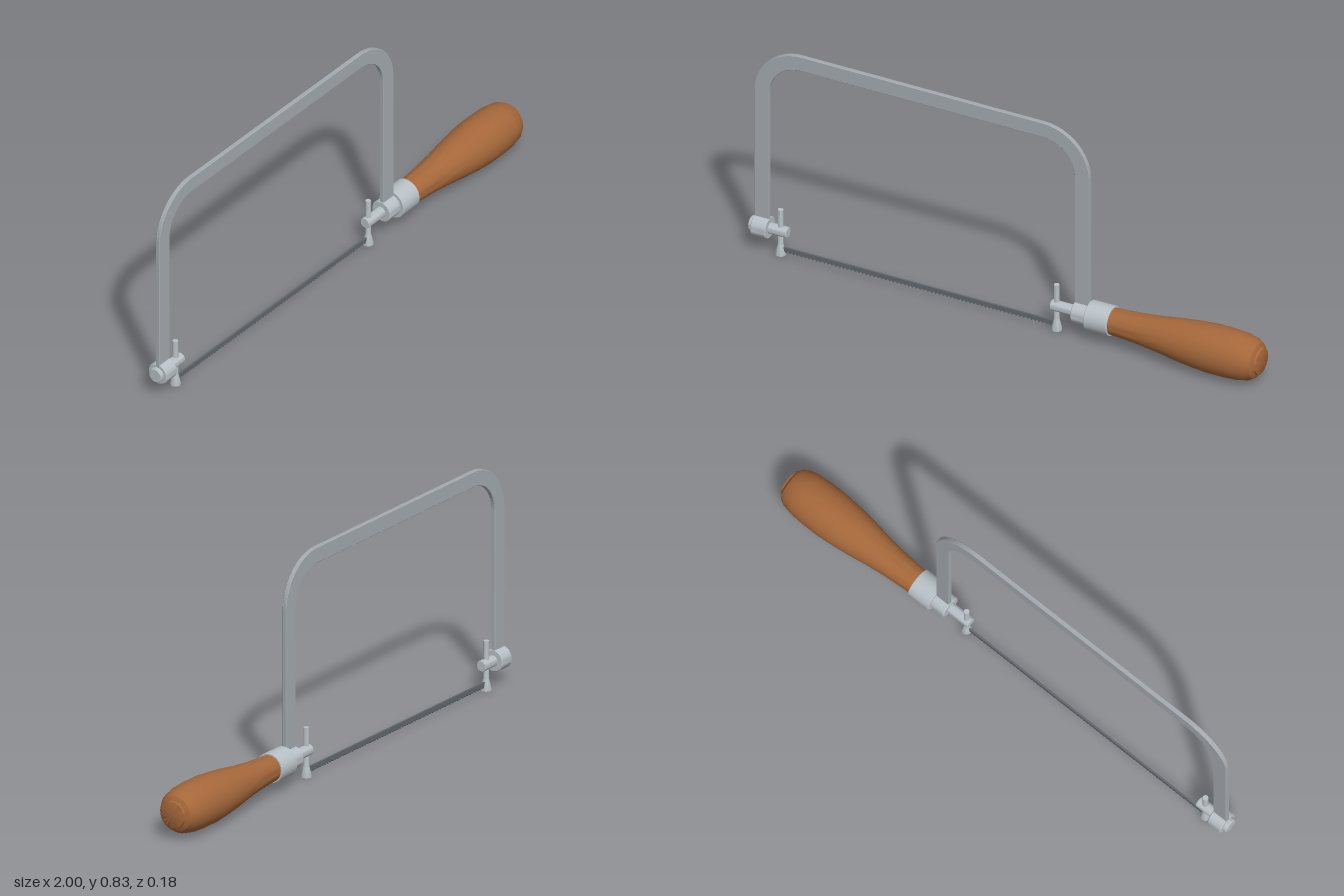
import * as THREE from 'three';
import { toCreasedNormals } from 'three/addons/utils/BufferGeometryUtils.js';

const AXIS_Y = 0.096; // height of the handle and spindle axis

function material(name, color) {
  const m = new THREE.MeshStandardMaterial({ color });
  m.name = name;
  return m;
}

export function createModel() {
  const saw = new THREE.Group();
  saw.name = 'copingSaw';
  const frameSteel = material('frameSteel', 0xa4aaaf);
  const brightSteel = material('brightSteel', 0xb8c0c5);
  const bladeSteel = material('bladeSteel', 0x62686d);
  const wood = material('wood', 0xa5673a);

  function add(parent, name, geometry, mat) {
    const mesh = new THREE.Mesh(geometry, mat);
    mesh.name = name;
    parent.add(mesh);
    return mesh;
  }

  // Lathe of [radius, position] points, with sharp edges kept
  function turned(points, segments = 32) {
    const g = new THREE.LatheGeometry(points.map(([r, p]) => new THREE.Vector2(r, p)), segments);
    return toCreasedNormals(g, 0.5);
  }

  // Turned part lying along +x on the spindle axis
  function along(parent, name, points, mat, segments) {
    const g = turned(points, segments).rotateZ(-Math.PI / 2);
    g.translate(0, AXIS_Y, 0);
    return add(parent, name, g, mat);
  }

  // Plain cylinder with a tiny chamfer between x0 and x1
  function bar(parent, name, x0, x1, r, c = 0.003) {
    return along(parent, name, [[0, x0], [r - c, x0], [r, x0 + c], [r, x1 - c], [r - c, x1], [0, x1]], brightSteel);
  }

  function extrude(shape, depth, bevel) {
    const g = new THREE.ExtrudeGeometry(shape, {
      depth: depth - 2 * bevel, curveSegments: 16, bevelEnabled: bevel > 0,
      bevelThickness: bevel, bevelSize: bevel, bevelOffset: -bevel, bevelSegments: 1,
    });
    g.translate(0, 0, -depth / 2 + bevel);
    return toCreasedNormals(g, 0.4);
  }

  // Bowed flat frame: outer arch, then inner arch back
  const L = -0.985, R = 0.327, T = 0.835, W = 0.058, RO = 0.185, RI = RO - W;
  const arch = new THREE.Shape();
  arch.moveTo(L, AXIS_Y);
  arch.lineTo(L, T - RO);
  arch.absarc(L + RO, T - RO, RO, Math.PI, Math.PI / 2, true);
  arch.absarc(R - RO, T - RO, RO, Math.PI / 2, 0, true);
  arch.lineTo(R, AXIS_Y);
  arch.lineTo(R - W, AXIS_Y);
  arch.absarc(R - RO, T - RO, RI, 0, Math.PI / 2, false);
  arch.absarc(L + RO, T - RO, RI, Math.PI / 2, Math.PI, false);
  arch.lineTo(L + W, AXIS_Y);
  arch.closePath();
  add(saw, 'frame', extrude(arch, 0.017, 0.002), frameSteel);

  // Blade holders: collar, spindle and tension pin at each end
  const pinX = [-0.885, 0.195];
  const pinProfile = [[0, 0], [0.019, 0], [0.019, 0.008], [0.012, 0.036], [0.01, 0.045], [0.01, 0.183], [0, 0.183]];
  const ends = [
    { name: 'frontHolder', collar: [-0.985, -0.926], spindle: [-0.94, -0.855] },
    { name: 'handleHolder', collar: [0.267, 0.328], spindle: [0.176, 0.29] },
  ];
  ends.forEach(({ name, collar, spindle }, i) => {
    const holder = new THREE.Group();
    holder.name = name;
    saw.add(holder);
    bar(holder, 'collar', collar[0], collar[1], 0.041);
    bar(holder, 'spindle', spindle[0], spindle[1], 0.02, 0.002);
    add(holder, 'tensionPin', turned(pinProfile, 20), brightSteel).position.x = pinX[i];
  });
  bar(saw, 'endKnob', -1, -0.98, 0.028);

  // Toothed blade stretched between the pins
  const teeth = 72, pitch = (pinX[1] - pinX[0]) / teeth;
  const edge = new THREE.Shape();
  edge.moveTo(pinX[0], 0.033);
  for (let i = 0; i < teeth; i++) {
    edge.lineTo(pinX[0] + i * pitch, 0.018);
    edge.lineTo(pinX[0] + (i + 0.5) * pitch, 0.011);
  }
  edge.lineTo(pinX[1], 0.018);
  edge.lineTo(pinX[1], 0.033);
  edge.closePath();
  add(saw, 'blade', extrude(edge, 0.007, 0), bladeSteel);

  // Ferrule and turned wooden handle
  bar(saw, 'ferrule', 0.325, 0.416, 0.055, 0.002);
  along(saw, 'handle', [
    [0, 0.41], [0.048, 0.41], [0.05, 0.45], [0.055, 0.52], [0.064, 0.6], [0.075, 0.67],
    [0.083, 0.74], [0.088, 0.8], [0.088, 0.87], [0.085, 0.92], [0.077, 0.96],
    [0.065, 0.981], [0.05, 0.99], [0.048, 0.997], [0, 1],
  ], wood, 40);

  return saw;
}
